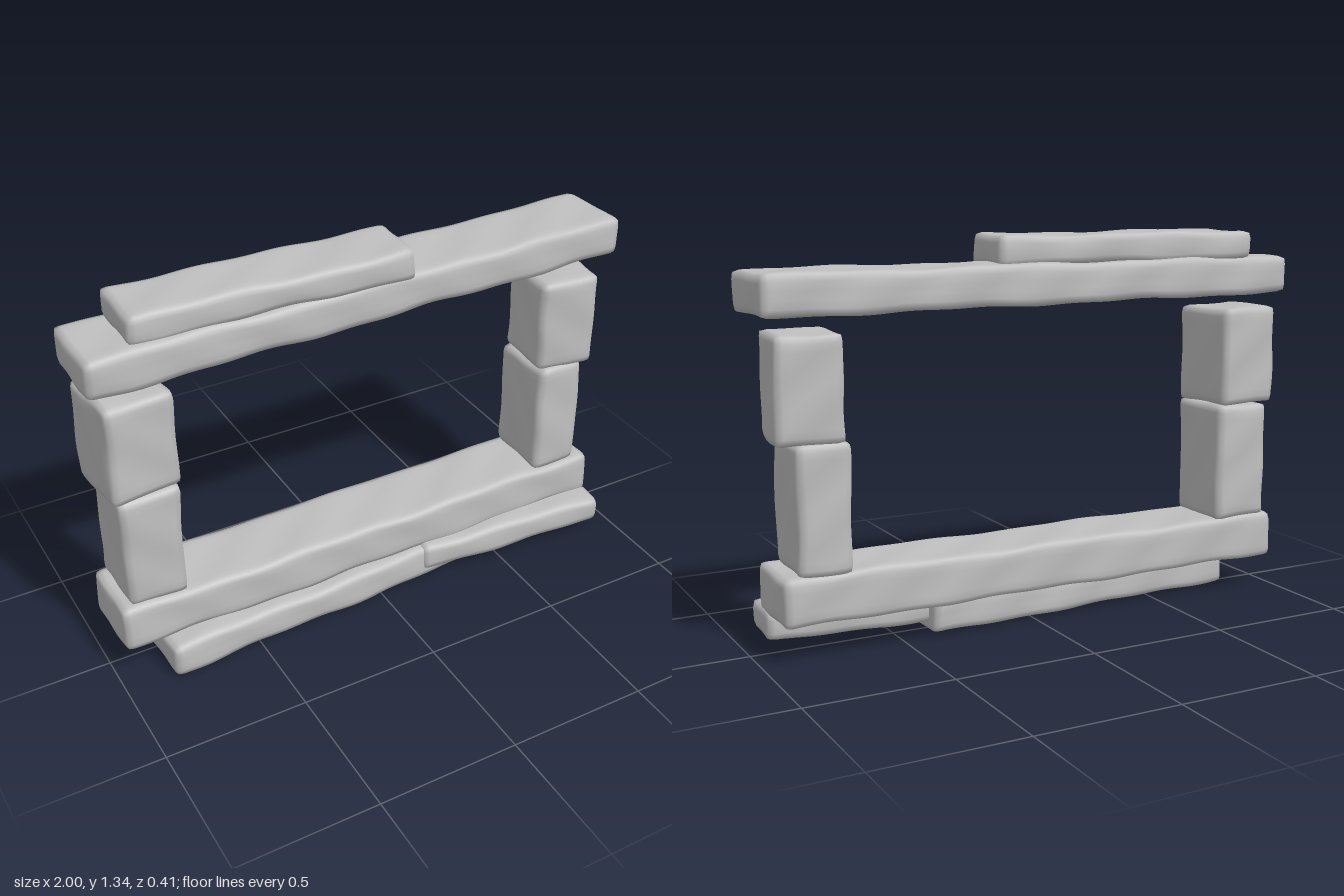
import * as THREE from 'three';
import { mergeVertices } from 'three/addons/utils/BufferGeometryUtils.js';

const stone = new THREE.MeshStandardMaterial({ color: 0xbfbfbf });
stone.name = 'grey stone';

// Rough hewn block: a finely divided box with worn edges and a wavy surface
function stoneGeometry(w, h, d, seed) {
  const radius = 0.018, amp = 0.005, step = 0.025;
  const seg = (s) => Math.max(4, Math.round(s / step));
  let geo = new THREE.BoxGeometry(w, h, d, seg(w), seg(h), seg(d));
  geo.deleteAttribute('uv');
  geo.deleteAttribute('normal');
  geo = mergeVertices(geo, 1e-5);

  const half = new THREE.Vector3(w / 2 - radius, h / 2 - radius, d / 2 - radius);
  const p = new THREE.Vector3(), inner = new THREE.Vector3(), dir = new THREE.Vector3();
  const wave = (a, b, k) =>
    0.6 * Math.sin(a * 9 + seed * 2.1 + k) + 0.4 * Math.sin(a * 21 + b * 13 + seed * 3.7 + k * 2);
  const pos = geo.attributes.position;
  for (let i = 0; i < pos.count; i++) {
    p.fromBufferAttribute(pos, i);
    inner.copy(p).clamp(half.clone().negate(), half);
    dir.copy(p).sub(inner).normalize();
    const { x, y, z } = p;
    p.copy(inner).addScaledVector(dir, radius);
    p.x += amp * wave(y + z, z, 1 + Math.sign(x));
    p.y += amp * wave(x + z * 0.5, z, 2 + Math.sign(y));
    p.z += amp * wave(x + y * 0.7, y, 4 + Math.sign(z));
    pos.setXYZ(i, p.x, p.y, p.z);
  }
  geo.computeVertexNormals();
  return geo;
}

// name, centre [x, y, z], size [w, h, d], turn about y
const blocks = [
  ['bottomLongSlab', [-0.22, 0.068, 0.042], [1.23, 0.122, 0.23], 0.05],
  ['bottomShortSlab', [0.562, 0.088, 0.067], [0.745, 0.102, 0.21], -0.08],
  ['sill', [-0.02, 0.206, -0.028], [1.9, 0.164, 0.275], 0.005],
  ['rightLowerPillar', [-0.828, 0.497, -0.035], [0.21, 0.425, 0.255], 0.01],
  ['leftLowerPillar', [0.786, 0.497, -0.04], [0.182, 0.425, 0.255], -0.01],
  ['rightUpperPillar', [-0.845, 0.884, -0.03], [0.242, 0.355, 0.25], 0.12],
  ['leftUpperPillar', [0.814, 0.881, -0.042], [0.225, 0.35, 0.245], -0.11],
  ['lintel', [0, 1.18, -0.05], [1.99, 0.136, 0.278], 0.018],
  ['topSlab', [-0.345, 1.29, -0.035], [0.985, 0.1, 0.24], -0.03],
];

export function createModel() {
  const group = new THREE.Group();
  group.name = 'stoneWindowFrame';
  blocks.forEach(([name, centre, size, turn], i) => {
    const mesh = new THREE.Mesh(stoneGeometry(...size, i + 1), stone);
    mesh.name = name;
    mesh.position.set(...centre);
    mesh.rotation.y = turn;
    group.add(mesh);
  });
  return group;
}
